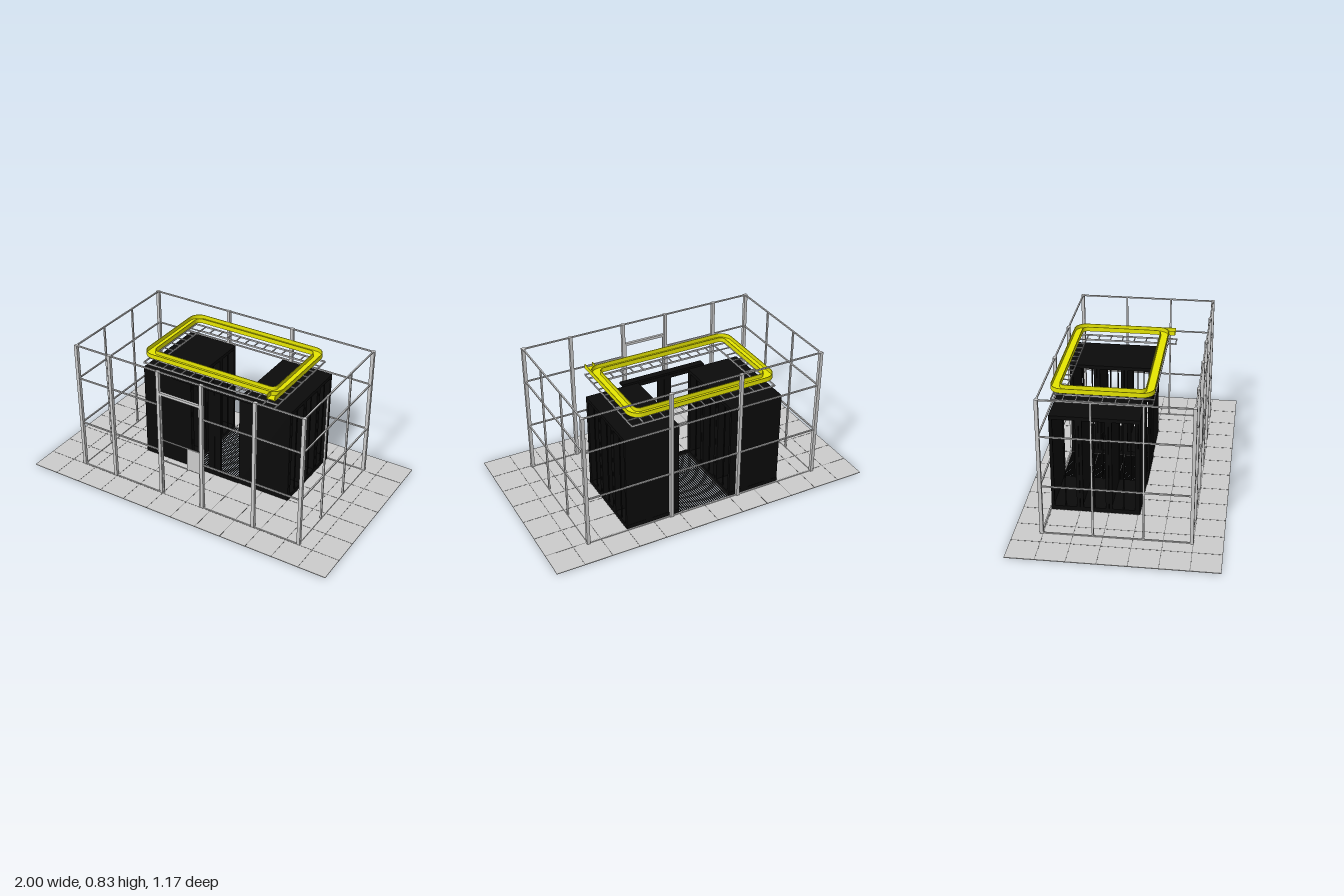
import * as THREE from 'three';

const grey = new THREE.MeshStandardMaterial({ color: 0xcccccc });
const black = new THREE.MeshStandardMaterial({ color: 0x0b0b0b });
const dark = new THREE.MeshStandardMaterial({ color: 0x777777 });
const yellow = new THREE.MeshStandardMaterial({ color: 0xe6e600, side: THREE.DoubleSide });

// Box given by its min and max corners
function box(parent, name, mat, x0, x1, y0, y1, z0, z1) {
  const m = new THREE.Mesh(new THREE.BoxGeometry(x1 - x0, y1 - y0, z1 - z0), mat);
  m.position.set((x0 + x1) / 2, (y0 + y1) / 2, (z0 + z1) / 2);
  m.name = name;
  parent.add(m);
  return m;
}

function group(parent, name) {
  const g = new THREE.Group();
  g.name = name;
  parent.add(g);
  return g;
}

// Rounded rectangle in plan, traced in shape space (y = -z)
function roundRect(path, x0, x1, z0, z1, r) {
  const a = -z1, b = -z0;
  path.moveTo(x0 + r, a);
  path.lineTo(x1 - r, a);
  path.absarc(x1 - r, a + r, r, -Math.PI / 2, 0);
  path.lineTo(x1, b - r);
  path.absarc(x1 - r, b - r, r, 0, Math.PI / 2);
  path.lineTo(x0 + r, b);
  path.absarc(x0 + r, b - r, r, Math.PI / 2, Math.PI);
  path.lineTo(x0, a + r);
  path.absarc(x0 + r, a + r, r, Math.PI, Math.PI * 1.5);
  return path;
}

// Flat ring: an outer rectangle with an inner one cut out, raised to a height
function ring(parent, name, mat, outer, inner, y, h) {
  const s = roundRect(new THREE.Shape(), ...outer);
  s.holes.push(roundRect(new THREE.Path(), ...inner));
  const geo = new THREE.ExtrudeGeometry(s, { depth: h, bevelEnabled: false, curveSegments: 8 });
  const m = new THREE.Mesh(geo.rotateX(-Math.PI / 2), mat);
  m.position.y = y;
  m.name = name;
  parent.add(m);
}

function buildFloor(root) {
  const floor = group(root, 'raisedFloor');
  const T = 1 / 6, Z = 0.583, h = 0.004;
  // plate with an opening for the vented aisle
  ring(floor, 'floorPlate', grey, [-1, 1, -Z, Z, 0.001], [-T, T, -0.417, 0.083, 0.001], 0, h);
  const seam = 0.0015;
  for (let i = 1; i < 12; i++) {
    const x = -1 + i * T;
    const spans = i === 6 ? [[-Z, -0.417], [0.083, Z]] : [[-Z, Z]];
    for (const [a, b] of spans) box(floor, 'tileSeam', dark, x - seam, x + seam, 0, h + 0.0008, a, b);
  }
  for (let i = 1; i < 7; i++) {
    const z = -Z + i * T;
    box(floor, 'tileSeam', dark, -1, 1, 0, h + 0.0008, z - seam, z + seam);
  }
  // slotted vent tiles
  const vent = group(root, 'ventTiles');
  const n = 26;
  for (let i = 0; i < n; i++) {
    const x = -T + (i + 0.5) * (2 * T / n);
    box(vent, 'ventSlat', black, x - 0.003, x + 0.003, 0, h, -0.417, 0.083);
  }
}

function buildRacks(root) {
  const W = 1 / 6, H = 0.61;
  for (const s of [-1, 1]) {
    const row = group(root, s < 0 ? 'rightRackRow' : 'leftRackRow');
    const x0 = s < 0 ? -0.5 : 0.167, x1 = x0 + 0.333;
    for (let i = 0; i < 3; i++) {
      const z1 = 0.083 - i * W, z0 = z1 - W, zc = (z0 + z1) / 2;
      const rack = group(row, 'rack');
      box(rack, 'rackRoof', black, x0, x1, 0.588, H, z0, z1);
      box(rack, 'rackBase', black, x0, x1, 0.002, 0.03, z0, z1);
      box(rack, 'rackSidePanel', black, x0 + 0.006, x1 - 0.006, 0.03, 0.588, z0 + 0.001, z0 + 0.014);
      box(rack, 'rackSidePanel', black, x0 + 0.006, x1 - 0.006, 0.03, 0.588, z1 - 0.014, z1 - 0.001);
      // corner posts and split door stiles on both open faces
      for (const x of [x0, x1 - 0.012]) {
        box(rack, 'rackPost', black, x, x + 0.012, 0.03, 0.588, z0 + 0.001, z0 + 0.019);
        box(rack, 'rackPost', black, x, x + 0.012, 0.03, 0.588, z1 - 0.019, z1 - 0.001);
        box(rack, 'doorStile', black, x + 0.002, x + 0.008, 0.03, 0.588, zc - 0.004, zc + 0.004);
      }
    }
    box(row, 'rowEndPanel', black, x0, x1, 0.002, H, 0.083, 0.094);
  }
  // sliding aisle doors at the front
  const door = group(root, 'aisleDoors');
  box(door, 'doorCentreStile', black, -0.045, -0.001, 0.025, 0.6, 0.085, 0.098);
  box(door, 'doorCentreStile', black, 0.001, 0.042, 0.025, 0.6, 0.085, 0.098);
  box(door, 'doorSill', black, -0.167, 0.167, 0.002, 0.027, 0.085, 0.098);
  box(door, 'doorHeader', black, -0.167, 0.167, 0.59, 0.613, 0.085, 0.098);
  box(door, 'doorSlideRail', black, -0.27, 0.27, 0.612, 0.625, 0.088, 0.13);
}

function buildCage(root) {
  const cage = group(root, 'cage');
  const X = 0.745, ZF = 0.408, ZB = -0.425, H = 0.834, p = 0.01, r = 0.004;
  const post = (x, z) => box(cage, 'cagePost', grey, x - p, x + p, 0, H, z - p, z + p);
  const railX = (y, z, a, b) => box(cage, 'cageRail', grey, a, b, y - r, y + r, z - r, z + r);
  for (const x of [-X, -0.51, -0.175, 0.11, 0.45, X]) post(x, ZF);
  for (const x of [-X, -0.22, 0.22, X]) post(x, ZB);
  for (const s of [-1, 1]) {
    for (const z of [0.141, -0.139]) {
      box(cage, 'cagePost', grey, s * X - 0.005, s * X + 0.005, 0, H, z - 0.005, z + 0.005);
    }
    for (const y of [0.005, 0.305, 0.612, H - r]) {
      box(cage, 'cageRail', grey, s * X - r, s * X + r, y - r, y + r, ZB, ZF);
    }
  }
  for (const y of [0.005, 0.305, 0.612, H - r]) {
    railX(y, ZB, -X, X);
    if (y > 0.8) railX(y, ZF, -X, X);
    else {
      railX(y, ZF, -X, -0.175);
      railX(y, ZF, 0.11, X);
    }
  }
  // cage gate with lock plate
  const gate = group(root, 'cageGate');
  box(gate, 'gateHeader', grey, -0.165, 0.1, 0.684, 0.7, ZF - 0.008, ZF + 0.008);
  box(gate, 'gateStile', grey, -0.164, -0.156, 0.006, 0.684, ZF - r, ZF + r);
  box(gate, 'gateStile', grey, 0.092, 0.1, 0.006, 0.684, ZF - r, ZF + r);
  for (const y of [0.237, 0.38]) box(gate, 'gateRail', grey, -0.165, 0.1, y - 0.002, y + 0.002, ZF - r, ZF + r);
  box(gate, 'lockPlate', grey, 0.01, 0.093, 0.237, 0.38, ZF - 0.003, ZF + 0.003);
}

function buildLadder(root) {
  const g = group(root, 'cableLadder');
  const y0 = 0.679, y1 = 0.689, t = 0.005;
  const O = [-0.455, 0.455, -0.412, 0.16], I = [-0.385, 0.385, -0.35, 0.1];
  // side rails of the inner and outer loops
  for (const q of [O, I]) {
    ring(g, 'ladderRail', grey, [...q, 0.002], [q[0] + t, q[1] - t, q[2] + t, q[3] - t, 0.001], y0, y1 - y0);
  }
  const rung = (a, b, c, d) => box(g, 'ladderRung', grey, a, b, y0 + 0.002, y1 - 0.002, c, d);
  for (let i = 0; i <= 12; i++) {
    const x = -0.38 + i * 0.76 / 12;
    rung(x - 0.003, x + 0.003, O[2], I[2]);
    rung(x - 0.003, x + 0.003, I[3], O[3]);
  }
  for (let i = 0; i <= 6; i++) {
    const z = -0.345 + i * 0.44 / 6;
    rung(O[0], I[0], z - 0.003, z + 0.003);
    rung(I[1], O[1], z - 0.003, z + 0.003);
  }
  // branch towards the front
  for (const x of [0.375, 0.45]) box(g, 'ladderBranchRail', grey, x, x + t, y0, y1, 0.155, 0.21);
  rung(0.375, 0.455, 0.203, 0.209);
}

function buildDuct(root) {
  const g = group(root, 'fibreTrough');
  const O = [-0.46, 0.455, -0.418, 0.163, 0.07], I = [-0.408, 0.403, -0.366, 0.111, 0.03];
  const y = 0.731, h = 0.028, w = 0.004;
  const inset = (q, d) => [q[0] + d, q[1] - d, q[2] + d, q[3] - d, q[4] - d];
  ring(g, 'troughFloor', yellow, O, I, y, 0.004);
  ring(g, 'troughOuterWall', yellow, O, inset(O, w), y, h);
  ring(g, 'troughInnerWall', yellow, inset(I, -w), I, y, h);
  // outlet at the front corner
  box(g, 'outletFloor', yellow, 0.403, 0.455, y, y + 0.004, 0.1, 0.2);
  box(g, 'outletWall', yellow, 0.403, 0.407, y, y + h, 0.16, 0.2);
  box(g, 'outletWall', yellow, 0.451, 0.455, y, y + h, 0.09, 0.2);
}

export function createModel() {
  const root = new THREE.Group();
  root.name = 'serverRoom';
  buildFloor(root);
  buildRacks(root);
  buildCage(root);
  buildLadder(root);
  buildDuct(root);
  return root;
}
